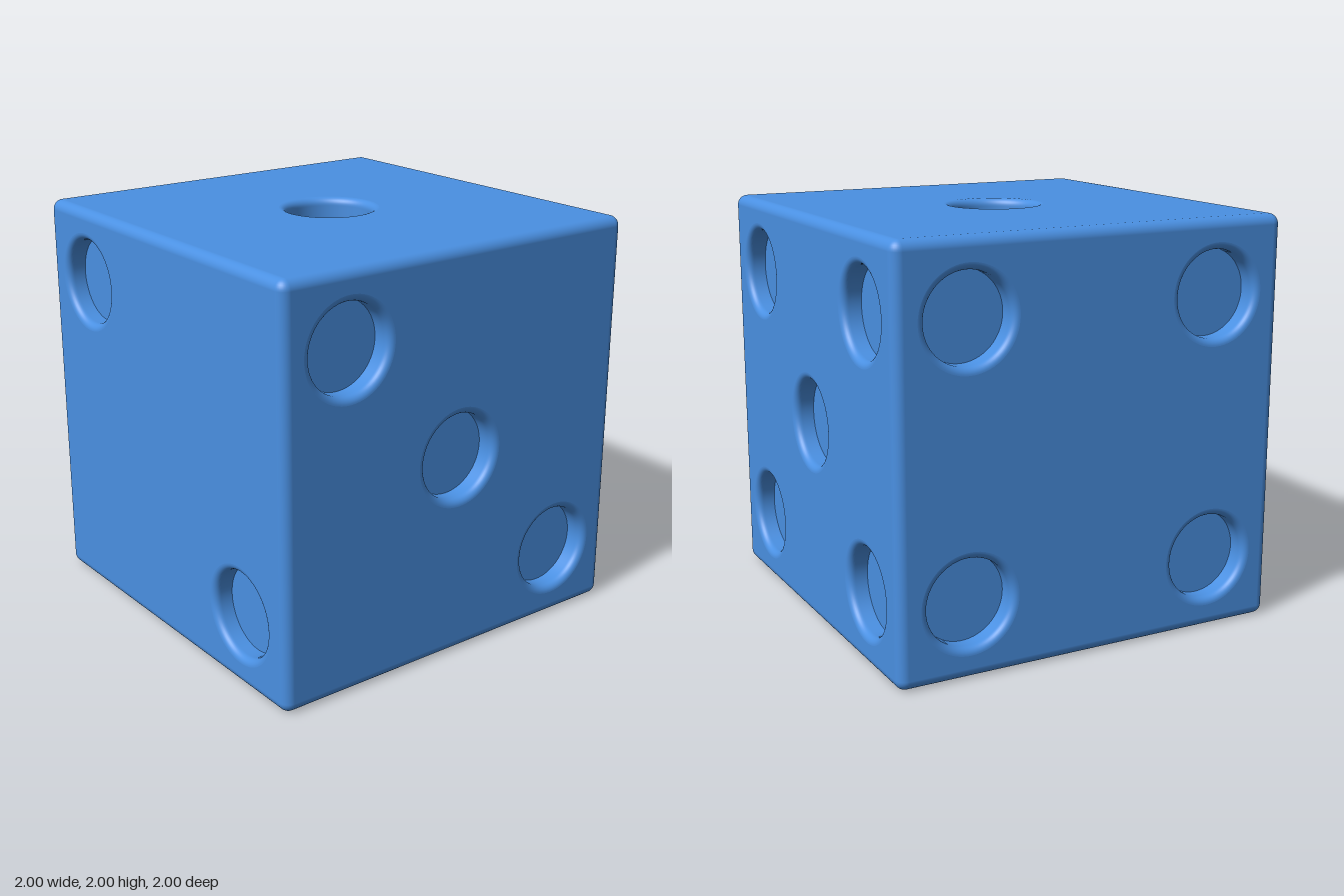
import * as THREE from 'three';

const EDGE = 0.05;            // rounding of the cube edges
const HALF = 1 - EDGE;        // half size of each flat face
const PIP = 0.21, DEPTH = 0.1, LIP = 0.035; // recess radius, depth, rim rounding
const P = 0.643;              // pip spacing from the face centre
const SEG = 64;
const Q = Math.PI / 2;

const material = new THREE.MeshStandardMaterial({ color: 0x4a90e2 });

function add(parent, geometry, name) {
  const mesh = new THREE.Mesh(geometry, material);
  mesh.name = name;
  parent.add(mesh);
  return mesh;
}

// Recess wall: rounded lip, then a straight drop; its axis turned to +z
function pipWallGeometry() {
  const points = [];
  for (let i = 0; i <= 8; i++) {
    const a = Q + (Q * i) / 8;
    points.push(new THREE.Vector2(PIP + LIP + LIP * Math.cos(a), -LIP + LIP * Math.sin(a)));
  }
  points.push(new THREE.Vector2(PIP, -LIP - 0.005), new THREE.Vector2(PIP, -DEPTH));
  return new THREE.LatheGeometry(points, SEG).rotateX(Q);
}

// Flat face with a hole per pip, facing +z
function createFace(name, pips, wall, floor) {
  const face = new THREE.Group();
  face.name = name;
  const shape = new THREE.Shape([
    new THREE.Vector2(-HALF, -HALF), new THREE.Vector2(HALF, -HALF),
    new THREE.Vector2(HALF, HALF), new THREE.Vector2(-HALF, HALF),
  ]);
  for (const [x, y] of pips) {
    shape.holes.push(new THREE.Path().absarc(x, y, PIP + LIP, 0, Math.PI * 2, true));
    add(face, wall, 'pipWall').position.set(x, y, 1);
    add(face, floor, 'pipFloor').position.set(x, y, 1 - DEPTH);
  }
  add(face, new THREE.ShapeGeometry(shape, SEG / 2), 'facePlate').position.z = 1;
  return face;
}

export function createModel() {
  const model = new THREE.Group();
  model.name = 'die';
  const body = new THREE.Group();
  body.name = 'body';
  body.position.y = 1;
  model.add(body);

  // Six numbered faces: name, rotation, pip centres
  const diagonal = [[-P, P], [P, -P]];
  const corners = [...diagonal, [P, P], [-P, -P]];
  const faces = [
    ['frontFace', 0, 0, diagonal],
    ['rightFace', 0, Q, [...diagonal, [0, 0]]],
    ['backFace', 0, 2 * Q, [...corners, [0, 0]]],
    ['leftFace', 0, -Q, corners],
    ['topFace', -Q, 0, [[0, 0]]],
    ['bottomFace', Q, 0, [...corners, [0, P], [0, -P]]],
  ];
  const wall = pipWallGeometry();
  const floor = new THREE.CircleGeometry(PIP, SEG);
  for (const [name, rx, ry, pips] of faces) {
    const face = createFace(name, pips, wall, floor);
    face.rotation.set(rx, ry, 0);
    body.add(face);
  }

  // Twelve rounded edges: four around each axis
  const edge = new THREE.CylinderGeometry(EDGE, EDGE, 2 * HALF, 8, 1, true, 0, Q)
    .translate(HALF, 0, HALF);
  for (const [rx, rz] of [[0, 0], [Q, 0], [0, Q]]) {
    const ring = new THREE.Group();
    ring.name = 'roundedEdges';
    ring.rotation.set(rx, 0, rz);
    for (let k = 0; k < 4; k++) add(ring, edge, 'roundedEdge').rotation.y = k * Q;
    body.add(ring);
  }

  // Eight rounded corners
  for (const [start, y] of [[0, HALF], [Q, -HALF]]) {
    const corner = new THREE.SphereGeometry(EDGE, 8, 8, Q, Q, start, Q).translate(HALF, y, HALF);
    for (let k = 0; k < 4; k++) add(body, corner, 'roundedCorner').rotation.y = k * Q;
  }
  return model;
}
